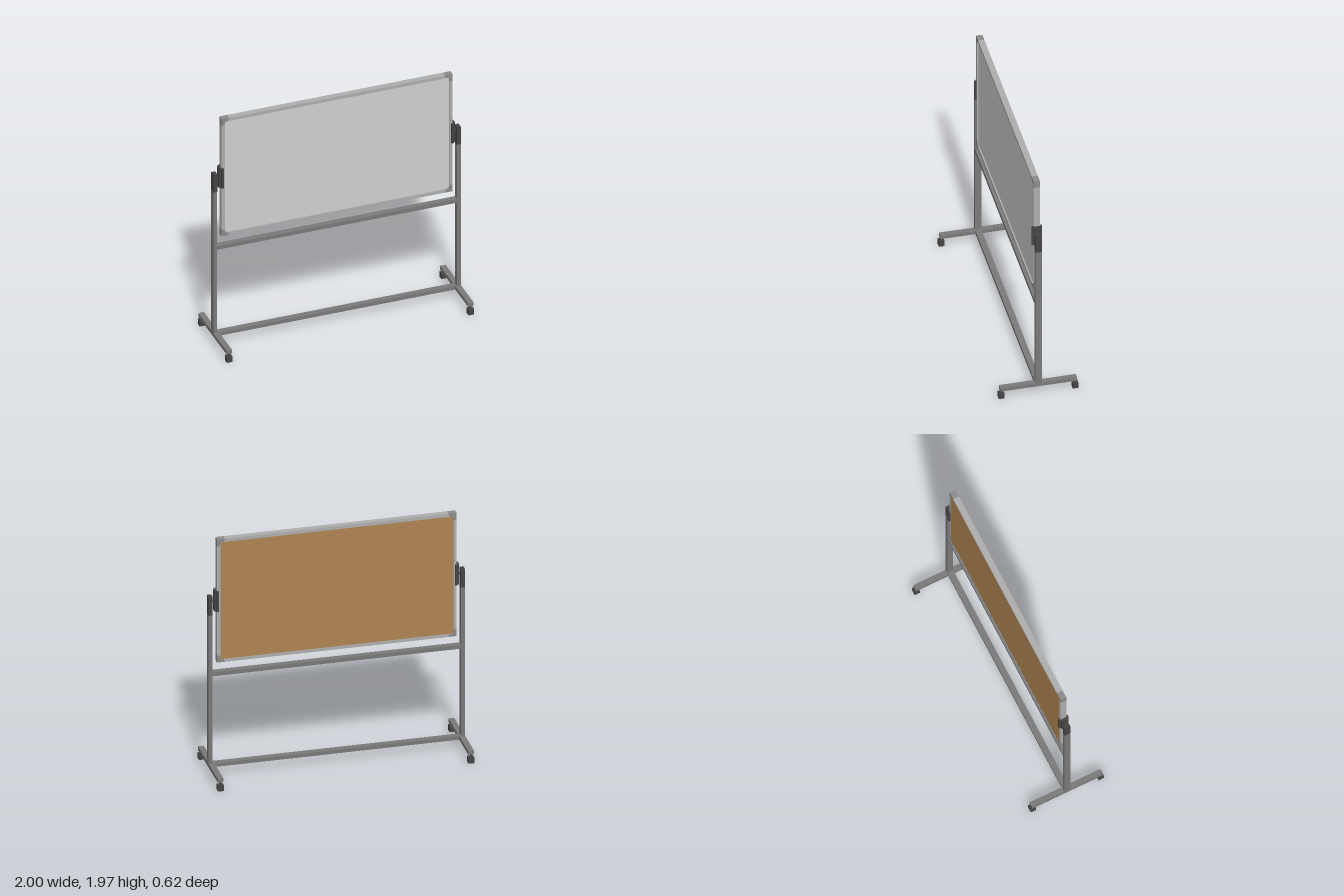
import * as THREE from 'three';

const mat = (name, color) => Object.assign(new THREE.MeshStandardMaterial({ color }), { name });

export function createModel() {
  const white = mat('boardWhite', 0xd0d0d0);
  const cork = mat('cork', 0xb08452);
  const alu = mat('aluminium', 0xaeaeae);
  const cornerGrey = mat('cornerGrey', 0x8c8c8c);
  const steel = mat('standGrey', 0x7a7a7a);
  const dark = mat('darkPlastic', 0x454545);
  const model = new THREE.Group();
  model.name = 'mobileBoard';

  const add = (name, geo, material, x = 0, y = 0, z = 0) => {
    const m = new THREE.Mesh(geo, material);
    m.name = name;
    m.position.set(x, y, z);
    model.add(m);
    return m;
  };
  // box given by its min and max on each axis
  const box = (name, material, x0, x1, y0, y1, z0, z1) =>
    add(name, new THREE.BoxGeometry(Math.abs(x1 - x0), y1 - y0, z1 - z0), material,
      (x0 + x1) / 2, (y0 + y1) / 2, (z0 + z1) / 2);
  // flat outline extruded along z
  const slab = (name, material, pts, z0, z1) =>
    add(name, new THREE.ExtrudeGeometry(new THREE.Shape(pts.map(p => new THREE.Vector2(...p))),
      { depth: z1 - z0, bevelEnabled: false }), material, 0, 0, z0);

  // Board frame
  const W = 0.935, H = 0.515, cy = 1.455, D = 0.024;
  const b = 0.026, outer = 0.063, inner = 0.053;
  for (const s of [-1, 1]) {
    slab('frameRail', alu, [
      [-W + outer, cy + s * H], [W - outer, cy + s * H],
      [W - inner, cy + s * (H - b)], [-W + inner, cy + s * (H - b)]], -D, D);
    slab('frameStile', alu, [
      [s * W, cy - H + outer], [s * W, cy + H - outer],
      [s * (W - b), cy + H - inner], [s * (W - b), cy - H + inner]], -D, D);
    for (const t of [-1, 1]) {
      // corner piece with a rounded inside edge
      const arc = [];
      for (let i = 0; i <= 6; i++) {
        const a = (i / 6) * Math.PI / 2, r = 0.02;
        arc.push([b + r - r * Math.sin(a), b + r - r * Math.cos(a)]);
      }
      const pts = [[0, 0], [outer, 0], [inner, b], ...arc, [b, inner], [0, outer]];
      slab('frameCorner', cornerGrey,
        pts.map(([u, v]) => [s * (W - u), cy + t * (H - v)]), -D, D);
    }
  }

  // Writing surface and pinboard back to back
  box('whiteBoard', white, -W + b, W - b, cy - H + b, cy + H - b, 0, 0.013);
  box('corkBoard', cork, -W + b, W - b, cy - H + b, cy + H - b, -0.023, 0);

  // Stand, one side at a time
  for (const s of [-1, 1]) {
    box('post', steel, s * 0.97, s, 0.1, 1.34, -D, D);
    box('postCap', dark, s * 0.969, s, 1.34, 1.495, -D, D);
    box('foot', steel, s * 0.955, s, 0.07, 0.1, -0.298, 0.298);

    // Tilt bracket and axle
    box('bracketBlock', dark, s * 0.935, s * 0.955, 1.37, 1.54, -D, D);
    box('bracketClip', dark, s * 0.922, s * 0.939, 1.37, 1.54, -0.039, 0.039);
    add('axle', new THREE.CylinderGeometry(0.009, 0.009, 0.03, 16).rotateZ(Math.PI / 2),
      dark, s * 0.962, cy);

    // Casters
    for (const t of [-1, 1]) {
      box('caster', dark, s * 0.955, s, 0, 0.048, t * 0.287 - 0.022, t * 0.287 + 0.022);
      add('casterStem', new THREE.CylinderGeometry(0.009, 0.012, 0.026, 12), dark,
        s * 0.978, 0.059, t * 0.287);
    }
  }

  // Cross bars
  box('middleBar', steel, -0.97, 0.97, 0.83, 0.862, -D, D);
  box('lowerBar', steel, -0.955, 0.955, 0.07, 0.1, -D, D);
  return model;
}
